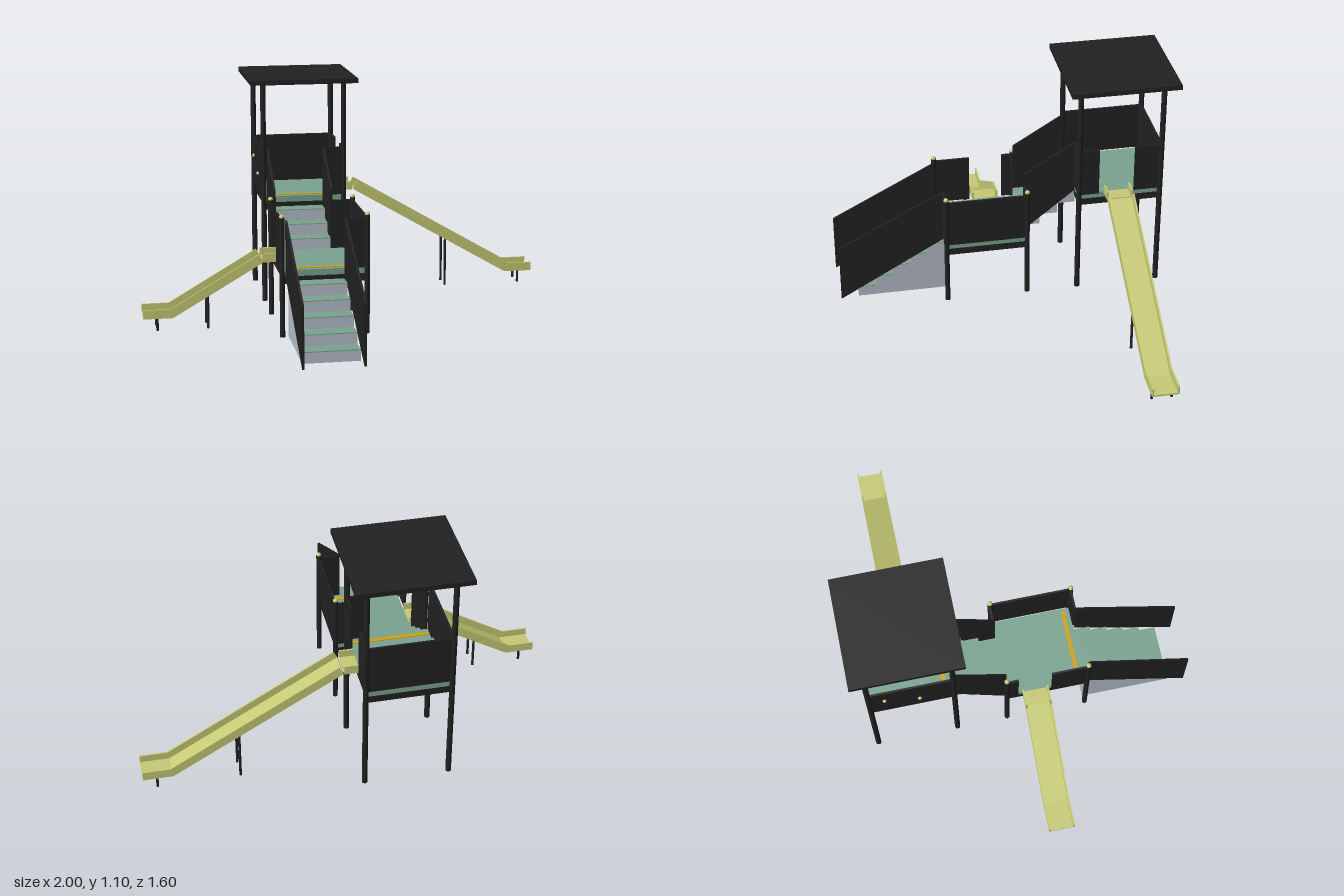
import * as THREE from 'three';

const mat = (name, color, side = THREE.FrontSide) => {
  const m = new THREE.MeshStandardMaterial({ color, side });
  m.name = name;
  return m;
};

export function createModel() {
  const root = new THREE.Group();
  root.name = 'playTower';
  const black = mat('charcoal', 0x212121);
  const teal = mat('teal', 0x7aa38f);
  const grey = mat('lightGrey', 0xb5bdc7);
  const lime = mat('paleLime', 0xc6ca74);
  const amber = mat('amber', 0xd0a00c);

  const add = (name, geo, m, parent = root) => {
    const mesh = new THREE.Mesh(geo, m);
    mesh.name = name;
    parent.add(mesh);
    return mesh;
  };
  // box given by its limits on each axis
  const box = (name, m, x0, x1, y0, y1, z0, z1, parent) => {
    const geo = new THREE.BoxGeometry(x1 - x0, y1 - y0, z1 - z0);
    geo.translate((x0 + x1) / 2, (y0 + y1) / 2, (z0 + z1) / 2);
    return add(name, geo, m, parent);
  };
  const pole = (name, r, x, z, h) => {
    const geo = new THREE.CylinderGeometry(r, r, h, 16);
    geo.translate(x, h / 2, z);
    return add(name, geo, black);
  };
  const ball = (name, r, x, y, z) =>
    add(name, new THREE.SphereGeometry(r, 12, 8), lime).position.set(x, y, z);
  const prism = (points, depth) => {
    const shape = new THREE.Shape(points.map(([x, y]) => new THREE.Vector2(x, y)));
    return new THREE.ExtrudeGeometry(shape, { depth, bevelEnabled: false }).translate(0, 0, -depth / 2);
  };

  const XL = -0.38, XR = 0.012;          // post lines
  const RAIL_L = -0.36, RAIL_R = -0.088; // stair rail lines
  const T = 0.005;                       // half panel thickness

  // roof and posts
  box('roof', black, -0.445, 0.075, 1.072, 1.095, -0.8, -0.285);
  for (const x of [XL, XR]) {
    for (const z of [-0.733, -0.34]) pole('towerPost', 0.013, x, z, 1.075);
    for (const z of [-0.092, 0.296]) {
      pole('landingPost', 0.012, x, z, 0.557);
      ball('postCap', 0.012, x, 0.56, z);
    }
  }

  // decks, each a teal floor on a dark frame with an edge stripe
  const deck = (name, top, z0, z1) => {
    const g = new THREE.Group();
    g.name = name;
    root.add(g);
    box('floor', teal, -0.368, 0.004, top - 0.029, top, z0, z1, g);
    box('frame', black, -0.368, 0.004, top - 0.063, top - 0.029, z0, z1, g);
    box('edgeStripe', amber, -0.36, -0.01, top, top + 0.003, z1 - 0.045, z1 - 0.025, g);
  };
  deck('landingDeck', 0.312, -0.09, 0.294);
  deck('towerDeck', 0.52, -0.733, -0.34);

  // wall panels
  const wallX = (name, x, y0, y1, z0, z1) => box(name, black, x - T, x + T, y0, y1, z0, z1);
  const wallZ = (name, z, y0, y1, x0, x1) => box(name, black, x0, x1, y0, y1, z - T, z + T);
  wallX('towerLeftWall', XL, 0.52, 0.755, -0.725, -0.35);
  wallX('towerRightWallBack', XR, 0.52, 0.755, -0.725, -0.605);
  wallX('towerRightWallFront', XR, 0.52, 0.755, -0.435, -0.35);
  wallZ('towerBackWall', -0.733, 0.52, 0.755, XL, XR);
  wallZ('towerFrontWall', -0.34, 0.52, 0.755, RAIL_R, XR);
  wallX('landingRightWall', XR, 0.312, 0.545, -0.085, 0.29);
  wallX('landingLeftWallBack', XL, 0.312, 0.545, -0.09, -0.037);
  wallX('landingLeftWallFront', XL, 0.312, 0.545, 0.123, 0.29);
  wallZ('landingBackWall', -0.095, 0.312, 0.545, RAIL_R, XR);
  wallZ('landingFrontWall', 0.295, 0.312, 0.545, RAIL_R, XR);

  // small knobs on the outside of the tower's side wall
  ball('wallKnob', 0.009, XL - 0.008, 0.665, -0.66);
  ball('wallKnob', 0.009, XL - 0.008, 0.605, -0.5);

  // stairs
  const RISE = 0.0525, RUN = 0.085;
  const step = (y0, y1, z1) => {
    box('stairRiser', grey, -0.352, -0.094, y0, y1 - 0.004, z1 - RUN, z1);
    box('stairTread', teal, -0.352, -0.094, y1 - 0.004, y1, z1 - RUN, z1);
  };
  for (let i = 0; i < 5; i++) step(0, RISE * (i + 1), 0.715 - RUN * i);
  for (let i = 0; i < 3; i++) step(0.312 + RISE * i, 0.312 + RISE * (i + 1), -0.088 - RUN * i);

  // stair rails, profiles in z and y
  const lowerRail = [[0.8, 0], [0.8, 0.285], [0.3, 0.545], [0.3, 0.285]];
  const upperRail = [[-0.09, 0.29], [-0.09, 0.6], [-0.34, 0.752], [-0.34, 0.49]];
  for (const x of [RAIL_L, RAIL_R]) {
    for (const [name, p] of [['lowerStairRail', lowerRail], ['upperStairRail', upperRail]]) {
      add(name, prism(p, 0.01).rotateY(-Math.PI / 2), black).position.x = x;
    }
  }

  // slides: each section is a channel given by bottom and top edges
  const slide = (name, z, sections, legs) => {
    const g = new THREE.Group();
    g.name = name;
    g.position.z = z;
    root.add(g);
    const W = 0.125, wall = 0.008;
    const mix = (a, b, t) => [a[0] + (b[0] - a[0]) * t, a[1] + (b[1] - a[1]) * t];
    for (const [b0, b1, t0, t1] of sections) {
      add('slideBed', prism([b0, b1, mix(b1, t1, 0.2), mix(b0, t0, 0.2)], W - 2 * wall), lime, g);
      for (const s of [-1, 1]) {
        add('slideSide', prism([b0, b1, t1, t0], wall), lime, g).position.z = s * (W - wall) / 2;
      }
    }
    for (const [x, h] of legs) {
      for (const s of [-1, 1]) pole('slideLeg', 0.006, x, z + s * 0.046, h);
    }
  };
  slide('longSlide', -0.524, [
    [[0.004, 0.514], [0.075, 0.514], [0.004, 0.556], [0.075, 0.556]],
    [[0.08, 0.517], [0.863, 0.06], [0.101, 0.554], [0.875, 0.102]],
    [[0.863, 0.06], [1, 0.06], [0.875, 0.102], [1, 0.102]],
  ], [[0.555, 0.245], [0.935, 0.065]]);
  slide('shortSlide', 0.047, [
    [[-0.368, 0.306], [-0.445, 0.306], [-0.368, 0.348], [-0.445, 0.348]],
    [[-0.44, 0.307], [-0.863, 0.06], [-0.461, 0.344], [-0.875, 0.102]],
    [[-0.863, 0.06], [-1, 0.06], [-0.875, 0.102], [-1, 0.102]],
  ], [[-0.7, 0.16], [-0.935, 0.065]]);

  return root;
}
